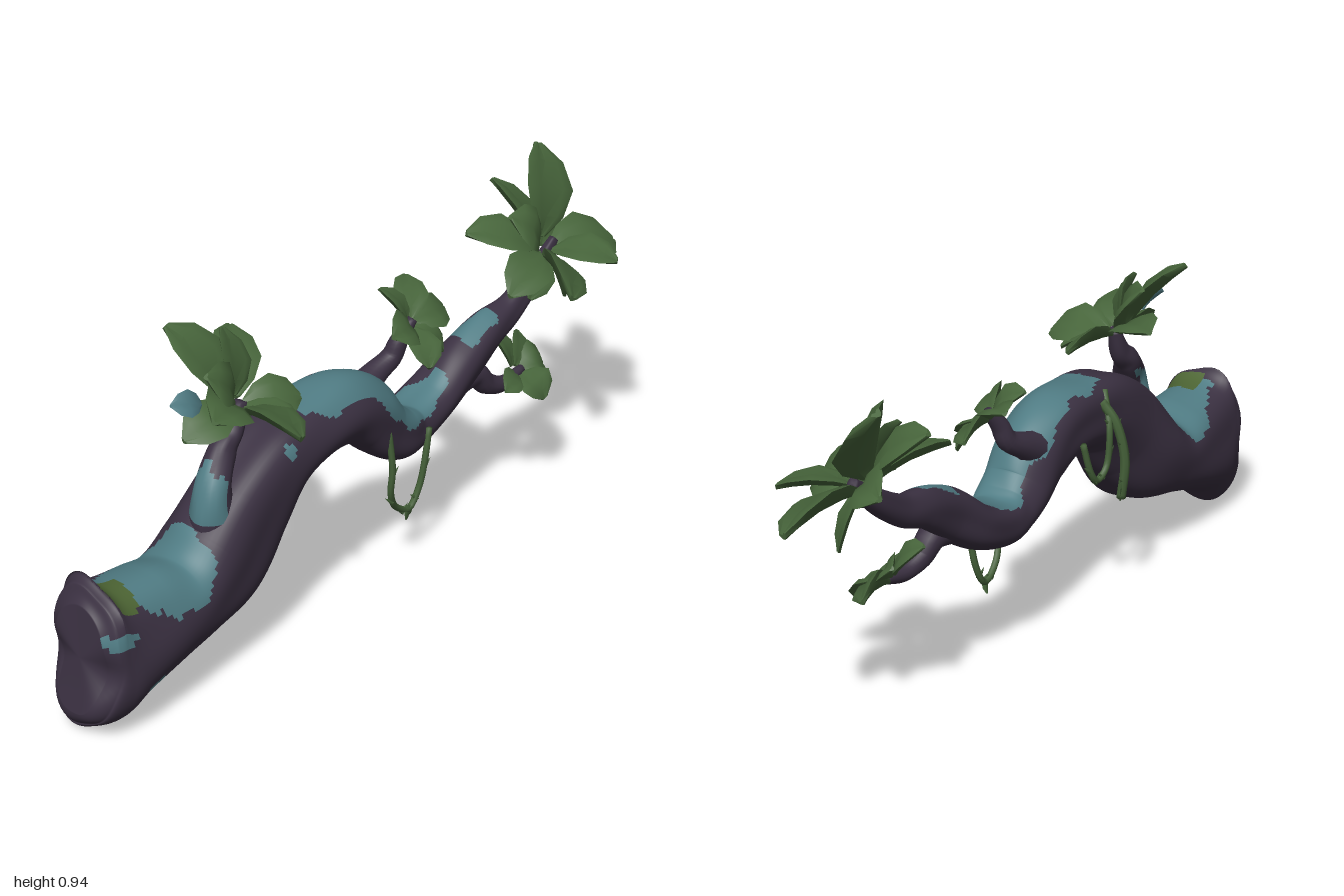
import * as THREE from 'three';
import { toCreasedNormals } from 'three/addons/utils/BufferGeometryUtils.js';

const V = (x, y, z = 0) => new THREE.Vector3(x, y, z);
const mat = (name, color, extra = {}) => {
  const m = new THREE.MeshStandardMaterial({ color, ...extra });
  m.name = name;
  return m;
};

// Skins a row of closed rings; pick(i, j) gives the material index of each quad
function skin(rings, pick = () => 0) {
  const n = rings[0].length, pos = [], lists = [[], [], []];
  rings.flat().forEach(p => pos.push(p.x, p.y, p.z));
  for (let i = 0; i < rings.length - 1; i++) {
    for (let j = 0; j < n; j++) {
      const k = (j + 1) % n, a = i * n + j, c = i * n + k;
      lists[pick(i, j)].push(a, a + n, c, a + n, c + n, c);
    }
  }
  [0, rings.length - 1].forEach((r, end) => {
    const c = rings[r].reduce((s, p) => s.add(p), V(0, 0)).divideScalar(n);
    const id = pos.length / 3;
    pos.push(c.x, c.y, c.z);
    for (let j = 0; j < n; j++) {
      const a = r * n + j, b = r * n + (j + 1) % n;
      lists[0].push(...(end ? [id, b, a] : [id, a, b]));
    }
  });
  const geo = new THREE.BufferGeometry();
  geo.setAttribute('position', new THREE.Float32BufferAttribute(pos, 3));
  geo.setIndex(lists.flat());
  let start = 0;
  lists.forEach((l, i) => {
    if (l.length) geo.addGroup(start, l.length, i);
    start += l.length;
  });
  geo.computeVertexNormals();
  return geo;
}

// Lofts oval sections along a path of [x, y, z, height radius, depth radius]
function limb(path, steps, sides, { ridge = 0, square = 0, pick, shape } = {}) {
  const centre = new THREE.CatmullRomCurve3(path.map(p => V(p[0], p[1], p[2])), false, 'catmullrom', 0.5);
  const size = new THREE.CatmullRomCurve3(path.map(p => V(p[3], p[4] ?? p[3])), false, 'catmullrom', 0.5);
  const rings = [], dirs = [];
  for (let i = 0; i <= steps; i++) {
    const t = i / steps, c = centre.getPoint(t), r = size.getPoint(t), T = centre.getTangent(t);
    const n = V(0, 0, 1).cross(T).normalize(), b = T.clone().cross(n);
    const ring = [], row = [];
    for (let j = 0; j < sides; j++) {
      const a = j / sides * Math.PI * 2;
      const k = 1 + ridge * (Math.sin(3 * a + t * 17) + 0.6 * Math.sin(5 * a - t * 23))
        + square * Math.sin(2 * a) ** 2;
      const p = c.clone().addScaledVector(n, r.x * k * Math.sin(a)).addScaledVector(b, r.y * k * Math.cos(a));
      if (shape) shape(p, t);
      ring.push(p);
      row.push(n.clone().multiplyScalar(Math.sin(a)).addScaledVector(b, Math.cos(a)));
    }
    rings.push(ring);
    dirs.push(row);
  }
  return skin(rings, pick && ((i, j) => pick(rings[i][j], dirs[i][j])));
}

// How far up a bark face must point before moss covers it, along x
const MOSS = [[-1, 2], [-0.93, 1.6], [-0.9, 0.75], [-0.8, 0.65], [-0.76, 0.2], [-0.66, 0.25], [-0.61, 0.7],
  [-0.58, 2], [-0.29, 2], [-0.26, 0.7], [-0.1, 0.5], [0, 0.28], [0.1, 0.2], [0.2, 0.45], [0.31, 0.7],
  [0.34, 2], [0.38, 2], [0.4, 0.5], [0.51, 0.65], [0.55, 2], [2, 2]];
function mossLimit(x) {
  const i = Math.max(1, MOSS.findIndex(m => m[0] >= x)), [a, b] = [MOSS[i - 1], MOSS[i]];
  return THREE.MathUtils.lerp(a[1], b[1], (x - a[0]) / (b[0] - a[0]));
}
const near = (p, x, y, rx, ry) => ((p.x - x) / rx) ** 2 + ((p.y - y) / ry) ** 2 < 1;
function barkPaint(p, d) {
  if (near(p, -0.885, 0.375, 0.035, 0.05) && d.y > 0.3 && p.z > -0.01) return 2;
  const spots = [[-0.94, 0.28, 0.055, 0.018], [-0.83, 0.115, 0.035, 0.018], [-0.35, 0.545, 0.018, 0.02]];
  if (p.z > 0 && spots.some(s => near(p, ...s))) return 1;
  const wobble = 0.1 * Math.sin(p.x * 31 + p.z * 40) + 0.06 * Math.sin(p.z * 75 - p.x * 57);
  return d.y > mossLimit(p.x) + wobble + 0.45 * Math.max(0, -d.z) ? 1 : 0;
}

// Unit leaf along +x: a thick folded blade that bows along its length
function leafGeometry() {
  const sections = [[0, 0.08], [0.2, 0.34], [0.5, 0.5], [0.8, 0.38], [1, 0.08]];
  const loop = [[1, 0.04], [0.5, 0.07], [0, 0.02], [-0.5, 0.07], [-1, 0.04], [-0.5, -0.09], [0, -0.14], [0.5, -0.09]];
  const rings = sections.map(([t, w]) =>
    loop.map(([z, y]) => V(t, y * (0.3 + w * 1.4) + 0.6 * t * (1 - t) - 0.06, z * w)));
  return toCreasedNormals(skin(rings), 0.7);
}

export function createModel() {
  const bark = mat('bark', 0x3b3142);
  const moss = mat('blue moss', 0x507c84);
  const greenMoss = mat('green moss', 0x4d6534);
  const leafGreen = mat('leaf green', 0x48663c, { side: THREE.DoubleSide });
  const vineGreen = mat('vine green', 0x46623a);
  const barks = [bark, moss, greenMoss];
  const model = new THREE.Group();
  const add = (name, geo, material, parent = model) => {
    const m = new THREE.Mesh(geo, material);
    m.name = name;
    parent.add(m);
    return m;
  };

  // Winding trunk with a knobbly end, notched across the middle
  const trunk = [
    [-0.985, 0.218, -0.005, 0.14, 0.08], [-0.96, 0.214, -0.005, 0.18, 0.115], [-0.92, 0.21, -0.005, 0.2, 0.125],
    [-0.86, 0.216, -0.005, 0.16, 0.13], [-0.75, 0.233, -0.005, 0.132, 0.132], [-0.64, 0.25, -0.005, 0.11, 0.13],
    [-0.53, 0.305, -0.005, 0.138, 0.125], [-0.43, 0.405, 0, 0.135, 0.112], [-0.32, 0.495, 0, 0.11, 0.107],
    [-0.2, 0.53, 0, 0.092, 0.102], [-0.08, 0.535, 0, 0.092, 0.098], [0.01, 0.49, 0, 0.09, 0.093],
    [0.07, 0.425, 0, 0.08, 0.088], [0.13, 0.385, 0, 0.072, 0.083], [0.2, 0.375, -0.01, 0.063, 0.078],
    [0.3, 0.41, -0.01, 0.06, 0.073], [0.4, 0.48, 0, 0.064, 0.06], [0.5, 0.535, 0, 0.052, 0.05],
    [0.6, 0.565, 0, 0.04, 0.035], [0.7, 0.63, 0, 0.03, 0.026], [0.79, 0.71, 0, 0.013, 0.012]];
  add('trunk', limb(trunk, 300, 64, {
    ridge: 0.04, square: 0.06, pick: barkPaint,
    shape: (p, t) => { p.x += 0.035 * Math.max(0, 1 - t / 0.13) * Math.exp(-(((p.y - 0.19) / 0.06) ** 2)); }
  }), barks);

  // Side branches
  add('leftBranch', limb([[-0.52, 0.32, 0.01, 0.07], [-0.545, 0.42, 0.02, 0.062], [-0.54, 0.51, 0.02, 0.046],
    [-0.49, 0.58, 0, 0.036], [-0.45, 0.62, 0, 0.028], [-0.42, 0.69, 0, 0.016]], 50, 20, {
    ridge: 0.03,
    pick: (p, d) => d.x < 0.1 && p.y > 0.43 && p.y < 0.56 + 0.02 * Math.sin(p.z * 90) ? 1 : 0
  }), barks);
  add('middleBranch', limb([[0.03, 0.52, -0.03, 0.05], [0.1, 0.555, -0.03, 0.034], [0.15, 0.585, -0.02, 0.028],
    [0.17, 0.63, -0.01, 0.024], [0.21, 0.68, 0, 0.013]], 20, 12), bark);
  add('lowerBranch', limb([[0.34, 0.43, 0, 0.05], [0.44, 0.435, 0.01, 0.038], [0.49, 0.39, 0.02, 0.03],
    [0.55, 0.37, 0.03, 0.022], [0.63, 0.385, 0.03, 0.012]], 24, 12), bark);

  // Leaf clusters: base, then leaf tips with widths
  const leafGeo = leafGeometry();
  const clusters = {
    leftLeaves: [V(-0.43, 0.69, 0), [
      [-0.51, 0.88, -0.15, 0.16], [-0.37, 0.84, -0.1, 0.13], [-0.26, 0.78, -0.19, 0.13], [-0.27, 0.67, 0.06, 0.12],
      [-0.4, 0.66, 0.19, 0.16], [-0.59, 0.74, 0.09, 0.14], [-0.61, 0.66, 0.0, 0.12], [-0.34, 0.65, 0.12, 0.1],
      [-0.54, 0.81, 0.02, 0.13]]],
    middleLeaves: [V(0.21, 0.67, 0), [
      [0.09, 0.69, 0.05, 0.11], [0.19, 0.75, -0.09, 0.11], [0.31, 0.74, -0.11, 0.1], [0.36, 0.66, -0.02, 0.11],
      [0.27, 0.59, 0.06, 0.1], [0.17, 0.59, 0.1, 0.1]]],
    endLeaves: [V(0.75, 0.7, 0), [
      [0.86, 0.94, -0.11, 0.19], [0.74, 0.86, -0.17, 0.15], [1, 0.66, 0.05, 0.17], [0.84, 0.69, 0.18, 0.14],
      [0.65, 0.65, 0.19, 0.16], [0.54, 0.65, 0.06, 0.13], [0.57, 0.77, -0.12, 0.15], [0.88, 0.74, -0.13, 0.13],
      [0.64, 0.82, -0.02, 0.14], [0.65, 0.59, 0.04, 0.1], [0.82, 0.54, 0.03, 0.09]]],
    lowerLeaves: [V(0.61, 0.39, 0.03), [
      [0.72, 0.37, 0.04, 0.14], [0.6, 0.49, -0.06, 0.1], [0.63, 0.33, 0.12, 0.13], [0.51, 0.38, 0.08, 0.08],
      [0.69, 0.46, -0.03, 0.09]]]
  };
  const placeLeaf = (parent, base, tip, width, facing, material = leafGreen) => {
    const x = tip.clone().sub(base), length = x.length();
    x.normalize();
    const y = facing.clone().addScaledVector(x, -facing.dot(x)).normalize();
    const leaf = add('leaf', leafGeo, material, parent);
    leaf.position.copy(base);
    leaf.quaternion.setFromRotationMatrix(new THREE.Matrix4().makeBasis(x, y, x.clone().cross(y)));
    leaf.scale.set(length, width * 1.15, width);
  };
  for (const [name, [base, leaves]] of Object.entries(clusters)) {
    const group = new THREE.Group();
    group.name = name;
    model.add(group);
    leaves.forEach(([x, y, z, w], i) => {
      const tip = V(x, y, z), facing = V(0.28 + 0.4 * Math.sin(i * 2.1), 1, 0.85 + 0.3 * Math.cos(i * 1.7));
      placeLeaf(group, base.clone().lerp(tip, 0.1), tip, w, facing);
    });
  }
  placeLeaf(model, V(-0.53, 0.72, -0.02), V(-0.62, 0.745, -0.03), 0.07, V(0, 0.6, 1), moss);

  // Hanging vines with small thorns
  const vines = [
    [[0.03, 0.45, 0.08], [0.04, 0.34, 0.085], [0.045, 0.26, 0.075], [0.08, 0.2, 0.06], [0.14, 0.165, 0.055],
      [0.175, 0.22, 0.06], [0.185, 0.3, 0.07], [0.2, 0.39, 0.07]],
    [[-0.2, 0.58, -0.09], [-0.21, 0.52, -0.13], [-0.22, 0.42, -0.15], [-0.22, 0.31, -0.14]],
    [[-0.23, 0.6, -0.08], [-0.19, 0.52, -0.12], [-0.18, 0.42, -0.12], [-0.14, 0.385, -0.115],
      [-0.11, 0.42, -0.11], [-0.09, 0.5, -0.1]]
  ];
  vines.forEach((pts, v) => {
    const r = v === 1 ? 0.013 : 0.009;
    add('vine', limb(pts.map(p => [...p, r]), 30, 7), vineGreen);
    const curve = new THREE.CatmullRomCurve3(pts.map(p => V(...p)));
    for (let i = 1; i < 6; i++) {
      const thorn = add('thorn', new THREE.ConeGeometry(0.008, 0.035, 5), vineGreen);
      thorn.position.copy(curve.getPoint(i / 6)).x += i % 2 ? 0.012 : -0.012;
      thorn.rotation.z = i % 2 ? -0.9 : 0.9;
    }
  });
  placeLeaf(model, V(0.12, 0.18, 0.06), V(0.145, 0.135, 0.05), 0.045, V(0, 0.3, 1));
  placeLeaf(model, V(-0.22, 0.38, -0.145), V(-0.22, 0.3, -0.14), 0.035, V(0, 0, -1));
  return model;
}
